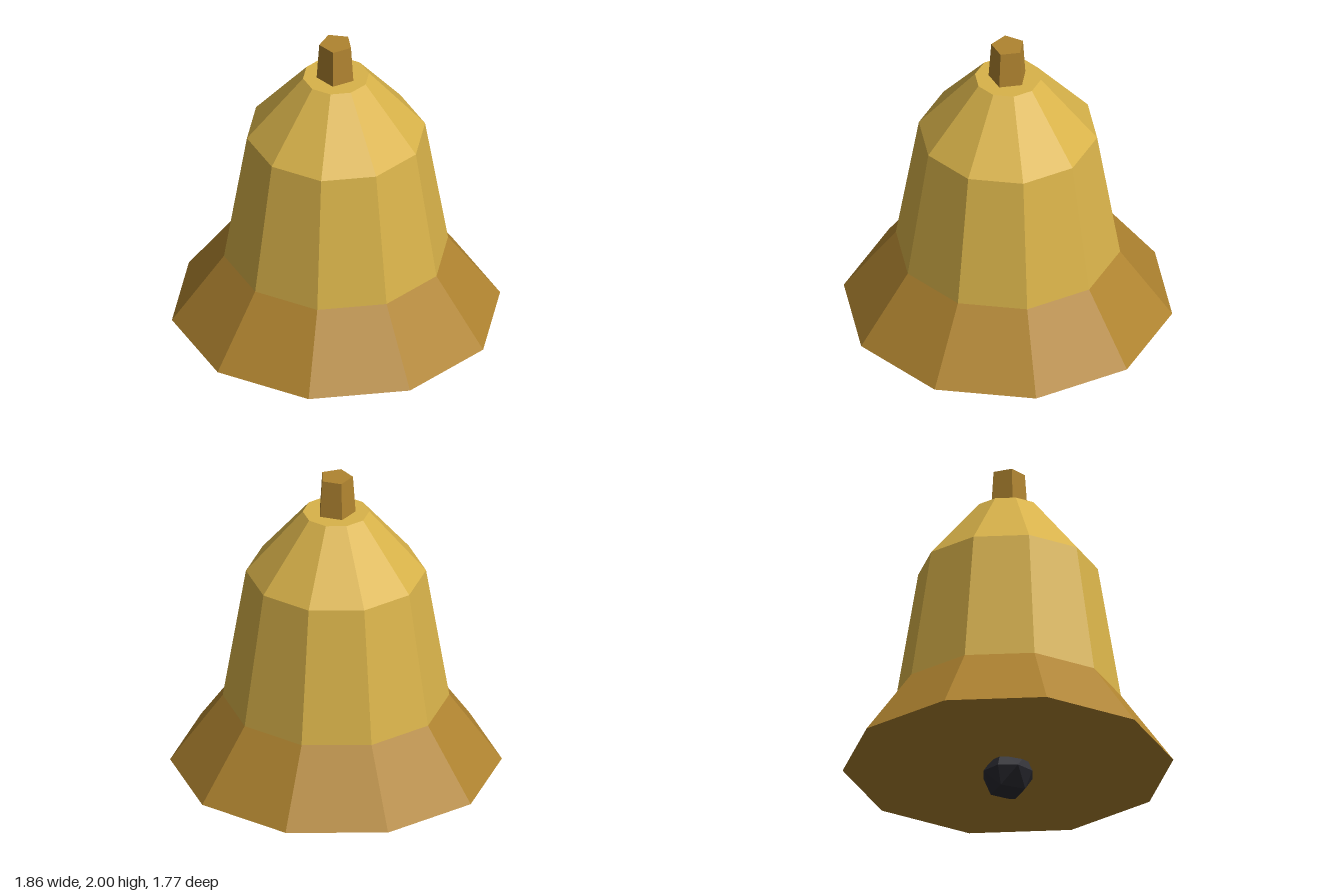
import * as THREE from 'three';

function flat(name, color) {
  const m = new THREE.MeshStandardMaterial({ color });
  m.name = name;
  m.flatShading = true;
  return m;
}

export function createModel() {
  const gold = flat('gold', 0xd9b34a);
  const bronze = flat('bronze', 0xb08430);
  const iron = flat('dark iron', 0x2a2a31);
  const bell = new THREE.Group();
  bell.name = 'bell';

  // Tapered prism between two heights, with a corner on +x
  function taper(name, material, sides, rBottom, rTop, y0, y1, open = false) {
    const geo = new THREE.CylinderGeometry(rTop, rBottom, y1 - y0, sides, 1, open, Math.PI / 2);
    const mesh = new THREE.Mesh(geo, material);
    mesh.name = name;
    mesh.position.y = (y0 + y1) / 2;
    bell.add(mesh);
  }

  // Flared lip with its closed underside, then waist, shoulder and handle
  taper('lip', bronze, 10, 0.93, 0.635, 0.21, 0.617);
  taper('waist', gold, 10, 0.635, 0.505, 0.617, 1.405, true);
  taper('shoulder', gold, 10, 0.505, 0.187, 1.405, 1.78);
  taper('handle', bronze, 5, 0.11, 0.095, 1.78, 2);

  // Faceted clapper peeking out below the lip
  const clapper = new THREE.Mesh(new THREE.OctahedronGeometry(0.148, 1), iron);
  clapper.name = 'clapper';
  clapper.position.y = 0.15;
  bell.add(clapper);

  return bell;
}
